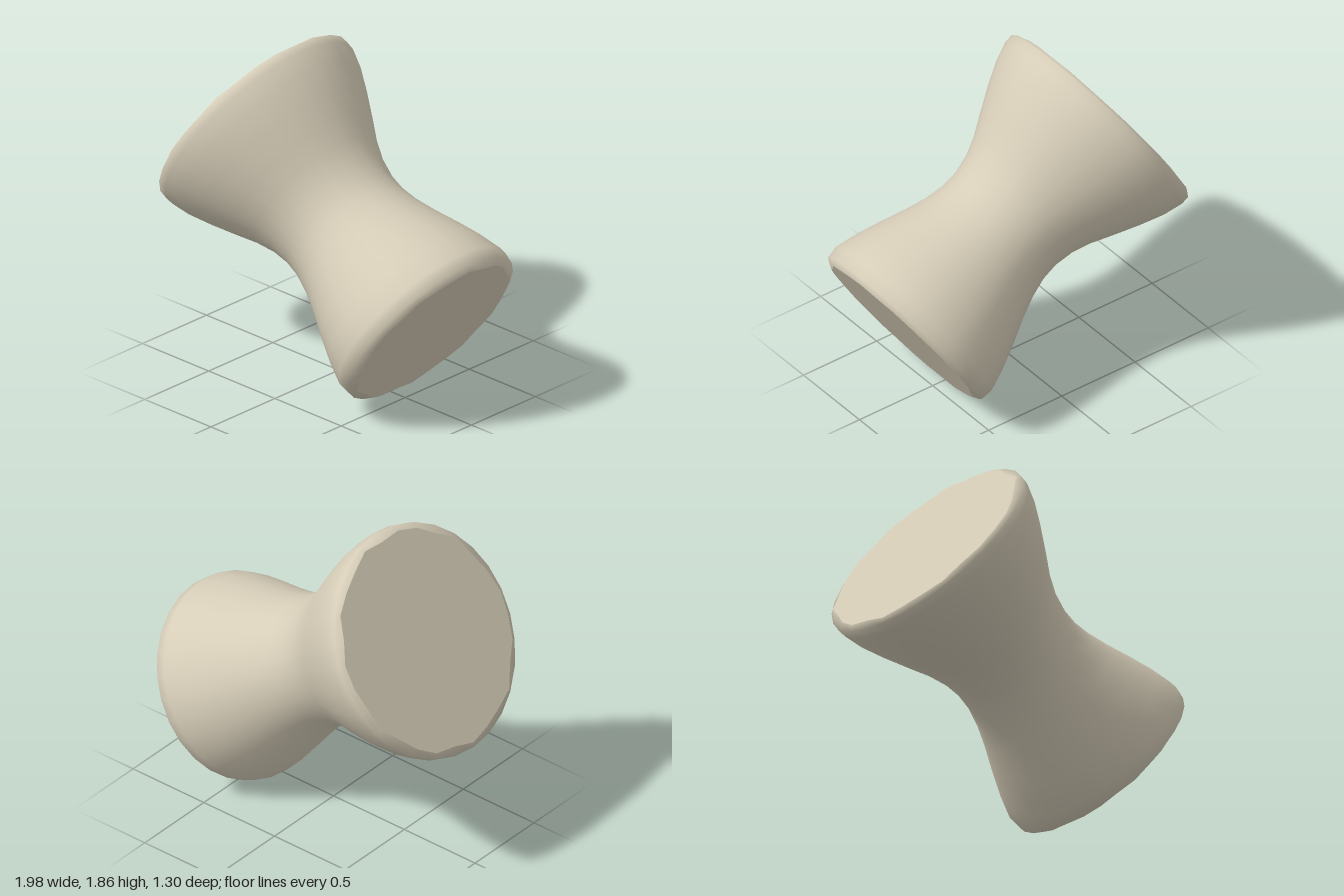
import * as THREE from 'three';

const SIDES = 28;

// Small uneven inset that gives each rim its hand-cut edge
const inset = (i, seed) => 1 - 0.045 * (0.5 + 0.5 * Math.sin((i % SIDES) * 2.4 + seed));

// Lathe whose listed rings (profile index -> seed) are made slightly uneven
function unevenLathe(points, rings) {
  const geometry = new THREE.LatheGeometry(points.map(([r, y]) => new THREE.Vector2(r, y)), SIDES);
  const pos = geometry.attributes.position;
  for (let i = 0; i <= SIDES; i++) {
    for (const [ring, seed] of rings) {
      const v = i * points.length + ring;
      const k = inset(i, seed);
      pos.setXYZ(v, pos.getX(v) * k, pos.getY(v), pos.getZ(v) * k);
    }
  }
  return geometry;
}

export function createModel() {
  const group = new THREE.Group();
  group.name = 'spool';
  const stone = new THREE.MeshStandardMaterial({ color: 0xd6cdb8 });
  stone.name = 'pale stone';

  const add = (name, geometry) => {
    const mesh = new THREE.Mesh(geometry, stone);
    mesh.name = name;
    spool.add(mesh);
  };

  // The spool is turned upright, then laid over on its lower rim
  const spool = new THREE.Group();
  spool.name = 'tiltedSpool';
  spool.position.set(-0.66, 1.32, 0);
  spool.rotation.z = 1.014;
  group.add(spool);

  // Waisted body, from the small end to the large end: [radius, height]
  const profile = [
    [0.53, -1.615], [0.567, -1.59], [0.575, -1.52], [0.54, -1.39],
    [0.49, -1.25], [0.435, -1.11], [0.395, -0.99], [0.372, -0.88],
    [0.37, -0.78], [0.39, -0.67], [0.43, -0.565], [0.485, -0.46],
    [0.56, -0.31], [0.618, -0.18], [0.65, -0.07], [0.65, -0.02], [0.625, 0],
  ];
  const last = profile.length - 1;
  add('waistedBody', unevenLathe(profile, [[0, 1], [last, 4]]));

  // Flat ends sharing the uneven rims
  add('smallEnd', unevenLathe([[0, -1.615], profile[0]], [[1, 1]]));
  add('largeEnd', unevenLathe([profile[last], [0, 0]], [[0, 4]]));

  return group;
}
